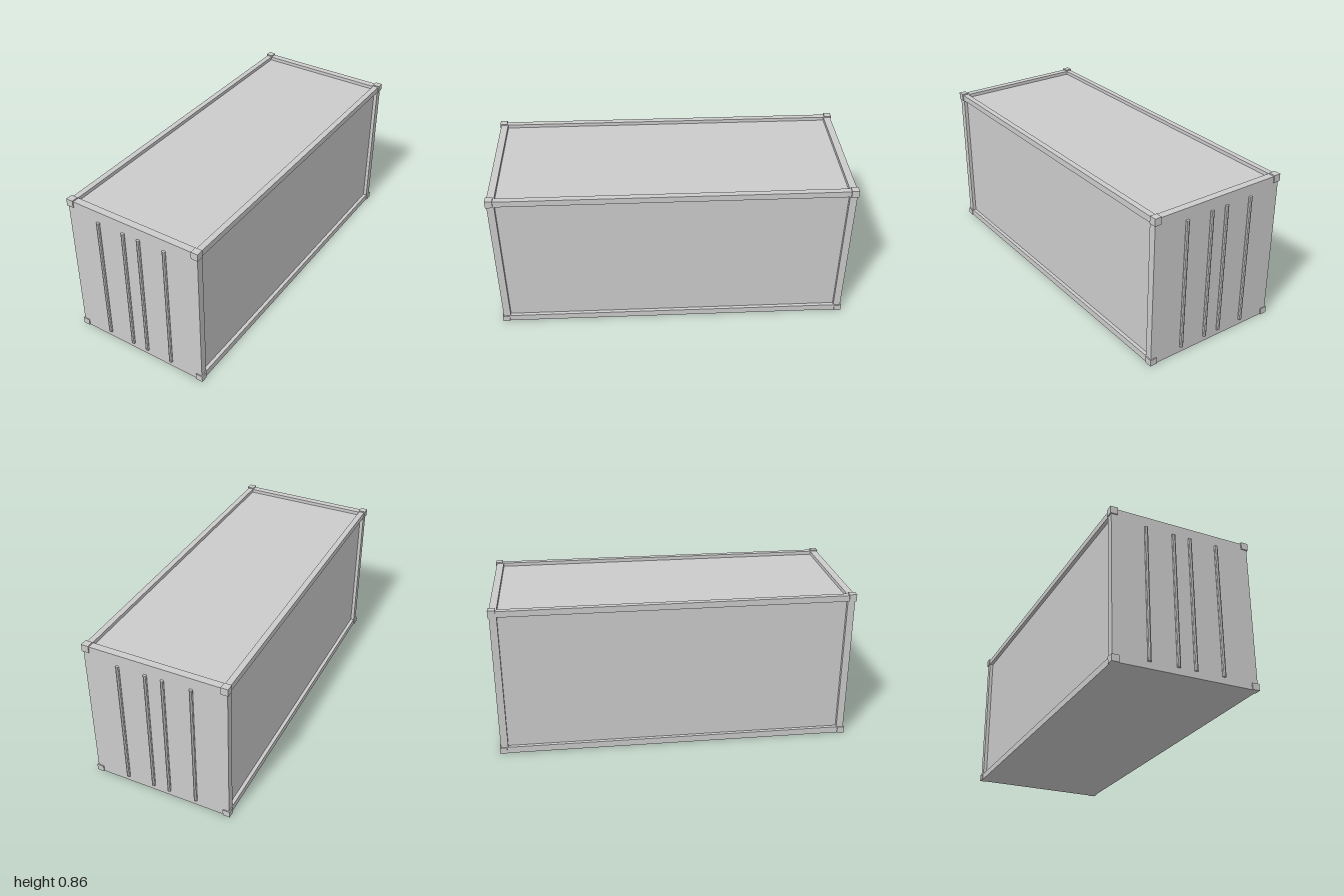
import * as THREE from 'three';

const material = new THREE.MeshStandardMaterial({ color: 0xcccccc, flatShading: true });

export function createModel() {
  const model = new THREE.Group();
  const W = 0.402, H = 0.857, L = 0.985; // half width, height, half length of the body
  const inner = { x: 0.37, y0: 0.037, y1: 0.823, z: 0.945 }; // panel openings
  const recess = 0.02;

  // Box given by its lowest and highest corner
  const box = (name, x0, y0, z0, x1, y1, z1) => {
    const mesh = new THREE.Mesh(new THREE.BoxGeometry(x1 - x0, y1 - y0, z1 - z0), material);
    mesh.position.set((x0 + x1) / 2, (y0 + y1) / 2, (z0 + z1) / 2);
    mesh.name = name;
    model.add(mesh);
  };
  // The same box mirrored to the side given by the signs sx, sz
  const sided = (name, sx, sz, x0, y0, z0, x1, y1, z1) =>
    box(name, sx > 0 ? x0 : -x1, y0, sz > 0 ? z0 : -z1, sx > 0 ? x1 : -x0, y1, sz > 0 ? z1 : -z0);

  // Recessed side walls, roof and floor
  box('cargoBody', -W + recess, 0, -inner.z, W - recess, H - recess, inner.z);

  // Rails along the length
  for (const s of [1, -1]) {
    sided('topRail', s, 1, inner.x, inner.y1, -inner.z, W, H, inner.z);
    sided('bottomRail', s, 1, W - recess, 0, -inner.z, W, inner.y0, inner.z);
  }

  const rodGeometry = new THREE.CylinderGeometry(0.01, 0.01, 0.756, 8);
  for (const s of [1, -1]) {
    // Flat door end, with the corner posts and end rails in one slab
    sided('doorEnd', 1, s, -W, 0, inner.z, W, H, L);

    // Locking rods
    for (const x of [-0.208, -0.049, 0.047, 0.205]) {
      const rod = new THREE.Mesh(rodGeometry, material);
      rod.position.set(x, 0.415, s * 0.99);
      rod.name = 'lockingRod';
      model.add(rod);
    }

    // Corner castings, slightly proud of the frame
    for (const sx of [1, -1]) {
      sided('topCornerCasting', sx, s, 0.368, 0.823, 0.951, 0.408, 0.864, 0.991);
      sided('bottomCornerCasting', sx, s, 0.368, 0, 0.951, 0.408, 0.037, 0.991);
    }
  }
  return model;
}
